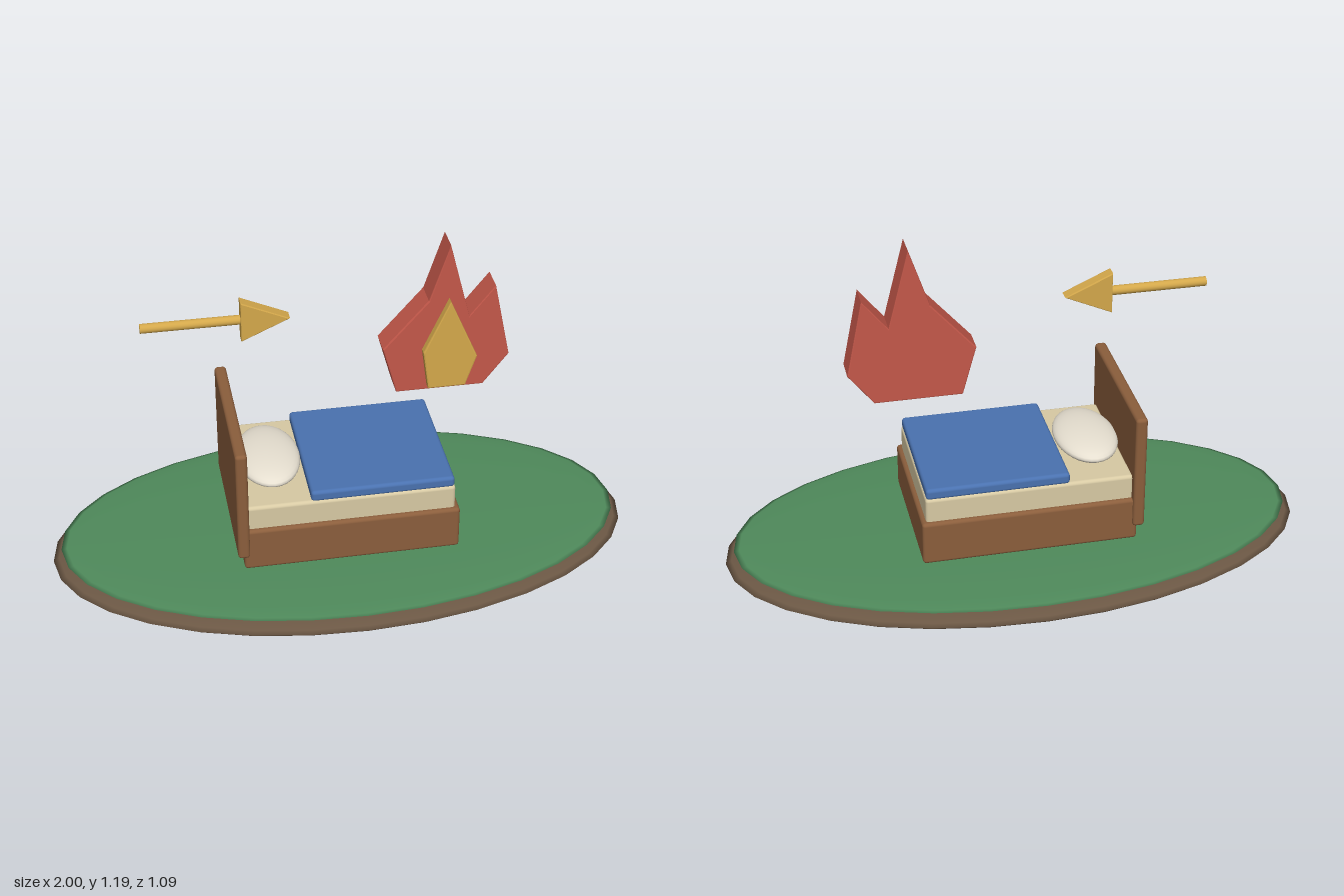
import * as THREE from 'three';
import { RoundedBoxGeometry } from 'three/addons/geometries/RoundedBoxGeometry.js';

const mat = (color) => new THREE.MeshStandardMaterial({ color });
const wood = mat(0x8b5e3c);
const gold = mat(0xd4a84b);

export function createModel() {
  const model = new THREE.Group();

  const add = (parent, name, geometry, material) => {
    const mesh = new THREE.Mesh(geometry, material);
    mesh.name = name;
    parent.add(mesh);
    return mesh;
  };

  // Squashed sphere
  const ellipsoid = (parent, name, center, radii, material) => {
    const geo = new THREE.SphereGeometry(1, 32, 16).scale(...radii);
    add(parent, name, geo, material).position.set(...center);
  };

  // Soft-edged box given by its low and high corners
  const box = (parent, name, lo, hi, radius, material) => {
    const size = hi.map((v, i) => v - lo[i]);
    const mesh = add(parent, name, new RoundedBoxGeometry(...size, 3, radius), material);
    mesh.position.set(...hi.map((v, i) => (v + lo[i]) / 2));
  };

  // Flat outline in x/y, extruded from z0 to z1 with a small inset bevel
  const plate = (parent, name, points, z0, z1, bevel, material) => {
    const shape = new THREE.Shape(points.map(([x, y]) => new THREE.Vector2(x, y)));
    const geo = new THREE.ExtrudeGeometry(shape, {
      depth: z1 - z0 - 2 * bevel,
      bevelEnabled: true,
      bevelThickness: bevel,
      bevelSize: bevel,
      bevelOffset: -bevel,
      bevelSegments: 2,
    });
    add(parent, name, geo, material).position.z = z0 + bevel;
  };

  // Oval island
  const island = new THREE.Group();
  island.name = 'island';
  ellipsoid(island, 'soil', [0, 0.059, 0], [1, 0.058, 0.545], mat(0x6b5744));
  ellipsoid(island, 'grass', [0, 0.104, 0], [0.97, 0.018, 0.525], mat(0x4f8a5b));

  // Bed
  const bed = new THREE.Group();
  bed.name = 'bed';
  box(bed, 'frame', [-0.37, 0.14, -0.262], [0.363, 0.297, 0.262], 0.012, wood);
  box(bed, 'headboard', [-0.392, 0.195, -0.275], [-0.352, 0.612, 0.275], 0.012, wood);
  box(bed, 'mattress', [-0.357, 0.28, -0.247], [0.348, 0.382, 0.247], 0.012, mat(0xd8caa4));
  box(bed, 'blanket', [-0.14, 0.376, -0.243], [0.345, 0.416, 0.243], 0.012, mat(0x4a72b0));
  ellipsoid(bed, 'pillow', [-0.25, 0.41, 0], [0.108, 0.037, 0.176], mat(0xe6dfd0));

  // Floating flame with a smaller golden core on its front
  const flame = new THREE.Group();
  flame.name = 'flame';
  plate(flame, 'outerFlame', [
    [0.18, 0.65], [0.475, 0.65], [0.56, 0.76], [0.505, 1.026],
    [0.42, 0.92], [0.35, 1.19], [0.283, 0.99], [0.133, 0.82],
  ], -0.046, 0.049, 0.004, mat(0xc4584a));
  plate(flame, 'innerFlame', [
    [0.282, 0.67], [0.408, 0.67], [0.445, 0.78], [0.35, 0.998], [0.263, 0.81],
  ], 0.046, 0.078, 0.005, gold);

  // Floating arrow pointing to +x
  const arrow = new THREE.Group();
  arrow.name = 'arrow';
  const shaft = add(arrow, 'arrowShaft', new THREE.CylinderGeometry(0.016, 0.016, 0.34, 16), gold);
  shaft.rotation.z = Math.PI / 2;
  shaft.position.set(-0.482, 0.956, -0.003);
  plate(arrow, 'arrowHead', [[-0.328, 0.884], [-0.168, 0.956], [-0.328, 1.028]], -0.025, 0.019, 0.004, gold);

  model.add(island, bed, flame, arrow);
  return model;
}
